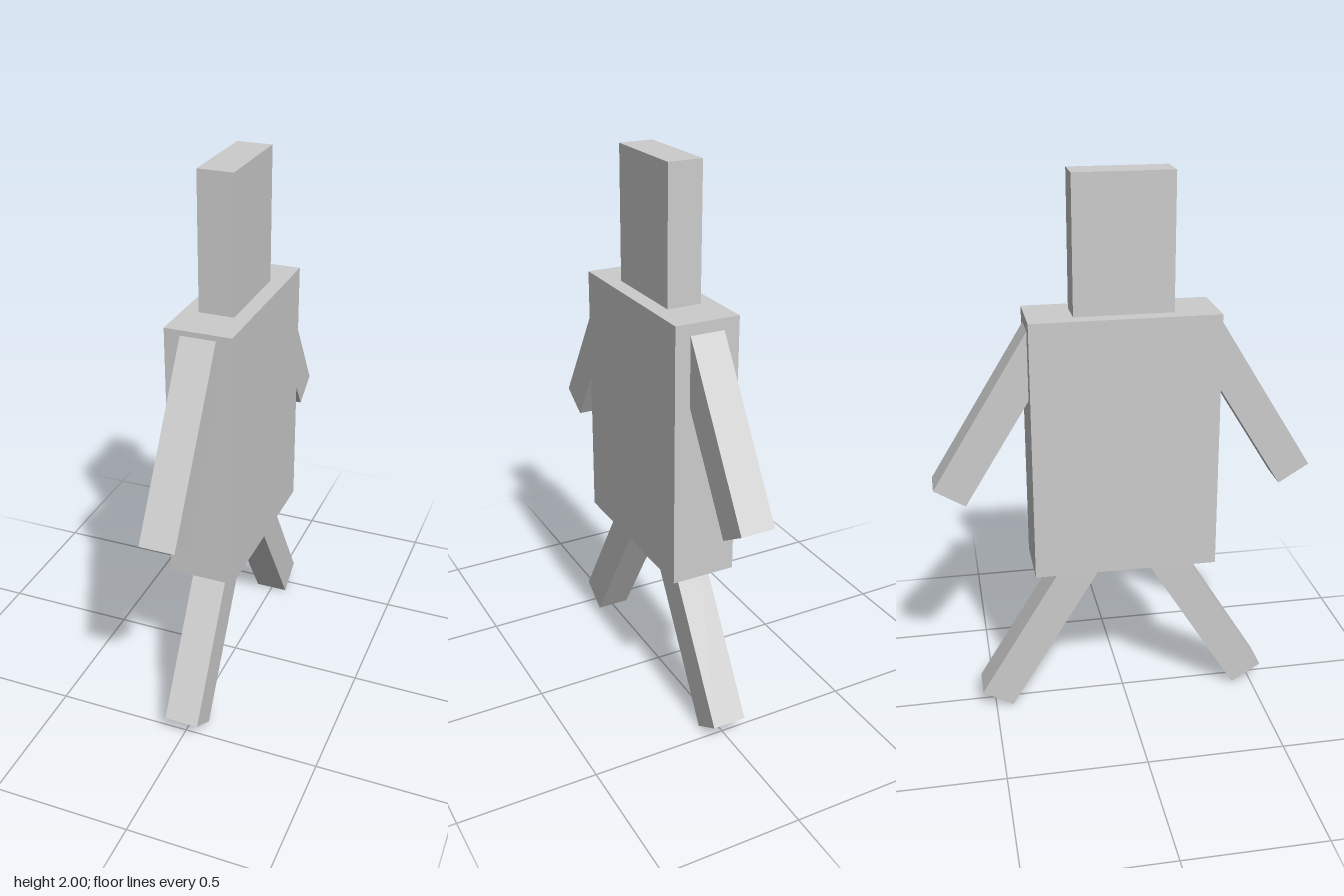
import * as THREE from 'three';

const material = new THREE.MeshStandardMaterial({ color: 0xcccccc, flatShading: true });
const TILT = THREE.MathUtils.degToRad(31.6);
const CENTRE_X = -0.002;

function block(name, width, height, depth, y, z) {
  const mesh = new THREE.Mesh(new THREE.BoxGeometry(width, height, depth), material);
  mesh.name = name;
  mesh.position.set(CENTRE_X, y, z);
  return mesh;
}

// Slanted limb, placed by the middle of its lower end and leaning in to the torso
function limb(name, endZ, endY, length) {
  const side = Math.sign(endZ);
  const mesh = block(name, 0.125, length, 0.13,
    endY + Math.cos(TILT) * length / 2,
    endZ - side * Math.sin(TILT) * length / 2);
  mesh.rotation.x = -side * TILT;
  return mesh;
}

export function createModel() {
  const group = new THREE.Group();
  group.name = 'blockFigure';

  // Body
  group.add(block('torso', 0.236, 0.948, 0.667, 1.046, -0.007));
  group.add(block('head', 0.125, 0.48, 0.351, 1.76, -0.006));

  // Arms and legs spread along z
  group.add(limb('frontArm', 0.63, 0.884, 0.69));
  group.add(limb('backArm', -0.63, 0.884, 0.69));
  group.add(limb('frontLeg', 0.483, 0.035, 0.69));
  group.add(limb('backLeg', -0.493, 0.035, 0.69));

  return group;
}
